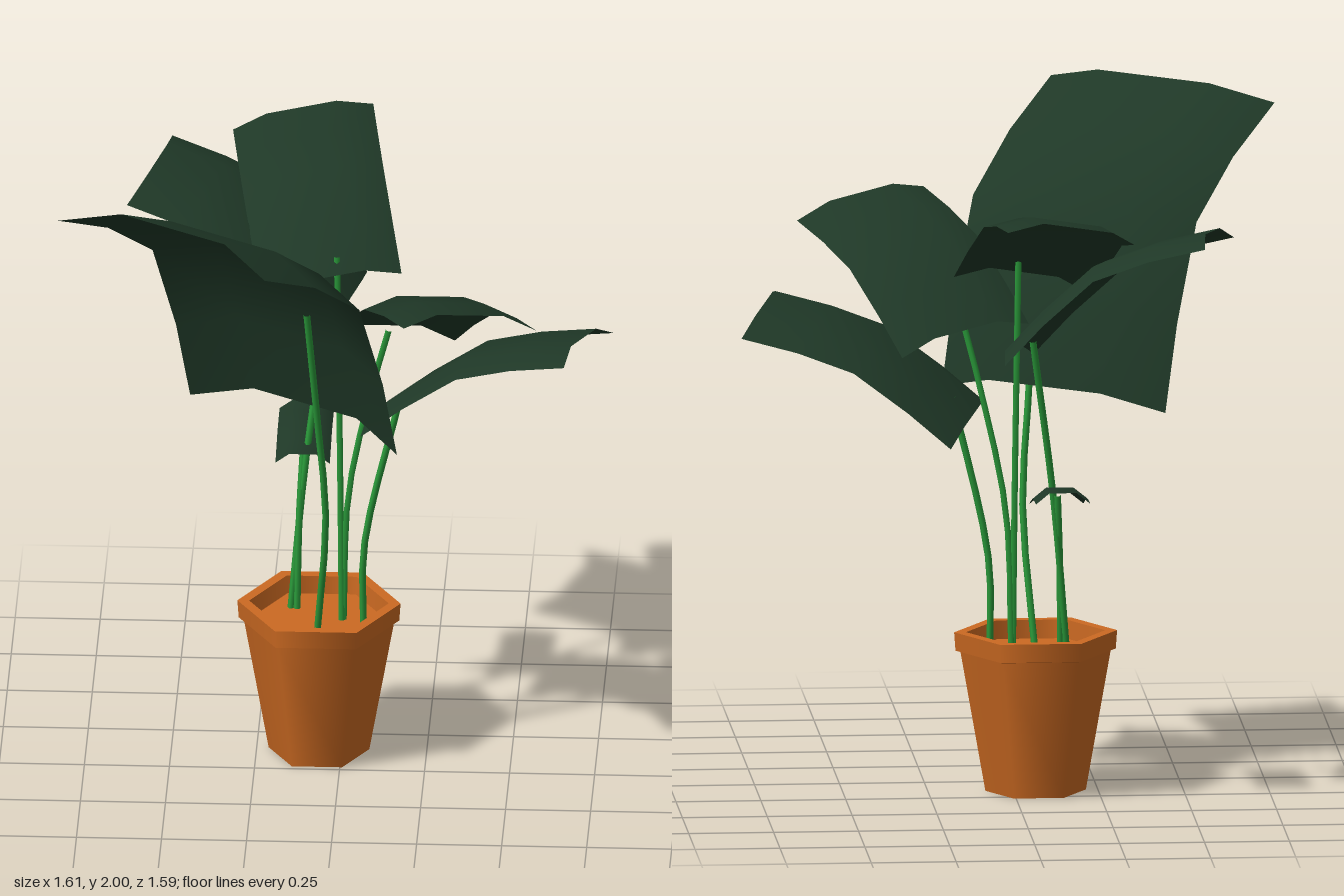
import * as THREE from 'three';

const V = (p) => new THREE.Vector3(...p);
const clay = new THREE.MeshStandardMaterial({ color: 0xcc6a22 });
const stemGreen = new THREE.MeshStandardMaterial({ color: 0x2a9a3a });
const leafGreen = new THREE.MeshStandardMaterial({ color: 0x1f3827, side: THREE.DoubleSide });

// Leaf shape: [distance along, arch height] and [distance across, fold height]
const ARCH = [[0, 0], [0.228, 0.54], [0.51, 1], [0.76, 0.62], [1, 0]];
const FOLD = [[0, 0], [0.25, 1], [0.75, 1], [1, 0]];

// Arched, folded sheet spanned by two base corners and one tip corner
function leafGeometry(base0, base1, tip0, arch, fold) {
  const origin = V(base0);
  const along = V(tip0).sub(origin);
  const across = V(base1).sub(origin);
  const up = along.clone().cross(across).normalize();
  const positions = [], indices = [], cols = FOLD.length;
  ARCH.forEach(([s, a], i) => FOLD.forEach(([w, f], j) => {
    const p = origin.clone()
      .addScaledVector(along, s)
      .addScaledVector(across, w)
      .addScaledVector(up, a * arch * along.length() + f * fold * across.length());
    positions.push(p.x, p.y, p.z);
    if (i && j) {
      const d = i * cols + j, c = d - 1, b = d - cols, e = b - 1;
      indices.push(e, c, b, b, c, d);
    }
  }));
  const geometry = new THREE.BufferGeometry();
  geometry.setAttribute('position', new THREE.Float32BufferAttribute(positions, 3));
  geometry.setIndex(indices);
  geometry.computeVertexNormals();
  return geometry;
}

// Each leaf with the stem that carries it
const PLANTS = [
  { name: 'largeFront', corners: [[-0.447, 1.127, -0.172], [0.18, 1.14, 0.24], [-0.81, 1.945, 0.38]], arch: 0.186, fold: 0.1,
    stem: [[-0.07, 0.4, -0.09], [-0.04, 0.82, 0.005], [-0.06, 1.13, 0.053], [-0.09, 1.54, 0.135]] },
  { name: 'frontLeft', corners: [[-0.054, 1.376, -0.051], [0.33, 1.307, -0.2], [0.213, 1.683, 0.52]], arch: 0.1, fold: 0.1,
    stem: [[0.005, 0.4, -0.15], [0.02, 0.83, -0.145], [0.09, 1.18, -0.135], [0.14, 1.38, -0.11]] },
  { name: 'sideLeft', corners: [[0.065, 1.12, 0.08], [0.195, 1.053, -0.31], [0.67, 1.43, 0.235]], arch: 0.1, fold: 0.1,
    stem: [[0.066, 0.4, -0.11], [0.068, 0.68, -0.105], [0.175, 1.17, -0.105]] },
  { name: 'back', corners: [[0.175, 1.54, -0.16], [-0.235, 1.47, -0.112], [0.0625, 1.79, -0.793]], arch: 0.12, fold: 0.1,
    stem: [[0, 0.4, -0.145], [-0.005, 0.9, -0.15], [-0.015, 1.59, -0.163]] },
  { name: 'backRight', corners: [[0.055, 1.35, -0.57], [-0.06, 1.31, -0.17], [-0.524, 1.715, -0.707]], arch: 0.12, fold: 0.1,
    stem: [[-0.155, 0.4, -0.22], [-0.11, 0.89, -0.285], [-0.04, 1.39, -0.4]] },
  { name: 'young', corners: [[-0.04, 0.875, -0.25], [-0.2, 0.875, -0.25], [-0.04, 0.925, -0.52]], arch: 0.06, fold: 0.2,
    stem: [[-0.135, 0.4, -0.215], [-0.13, 0.7, -0.25], [-0.12, 0.91, -0.3]] },
];

function createPot() {
  const pot = new THREE.Group();
  pot.name = 'pot';
  pot.position.set(-0.067, 0, -0.145);
  // Six-sided rings: pairs of [radius, height]
  const rings = {
    potBottom: [[0, 0], [0.148, 0]],
    potBody: [[0.148, 0], [0.222, 0.42]],
    rimUnderside: [[0.215, 0.415], [0.236, 0.42]],
    rimOutside: [[0.236, 0.42], [0.24, 0.475]],
    rimTop: [[0.24, 0.475], [0.205, 0.475]],
    rimInside: [[0.205, 0.475], [0.2, 0.42]],
    soil: [[0.2, 0.42], [0, 0.42]],
  };
  for (const [name, profile] of Object.entries(rings)) {
    const points = profile.map(([r, y]) => new THREE.Vector2(r, y));
    const ring = new THREE.Mesh(new THREE.LatheGeometry(points, 6, Math.PI / 2), clay);
    ring.name = name;
    pot.add(ring);
  }
  return pot;
}

export function createModel() {
  const model = new THREE.Group();
  model.name = 'pottedPlant';
  model.add(createPot());
  for (const { name, corners, arch, fold, stem } of PLANTS) {
    const leaf = new THREE.Mesh(leafGeometry(...corners, arch, fold), leafGreen);
    leaf.name = name + 'Leaf';
    const path = new THREE.CatmullRomCurve3(stem.map(V));
    const stalk = new THREE.Mesh(new THREE.TubeGeometry(path, 8, 0.01, 6), stemGreen);
    stalk.name = name + 'Stem';
    model.add(leaf, stalk);
  }
  return model;
}
